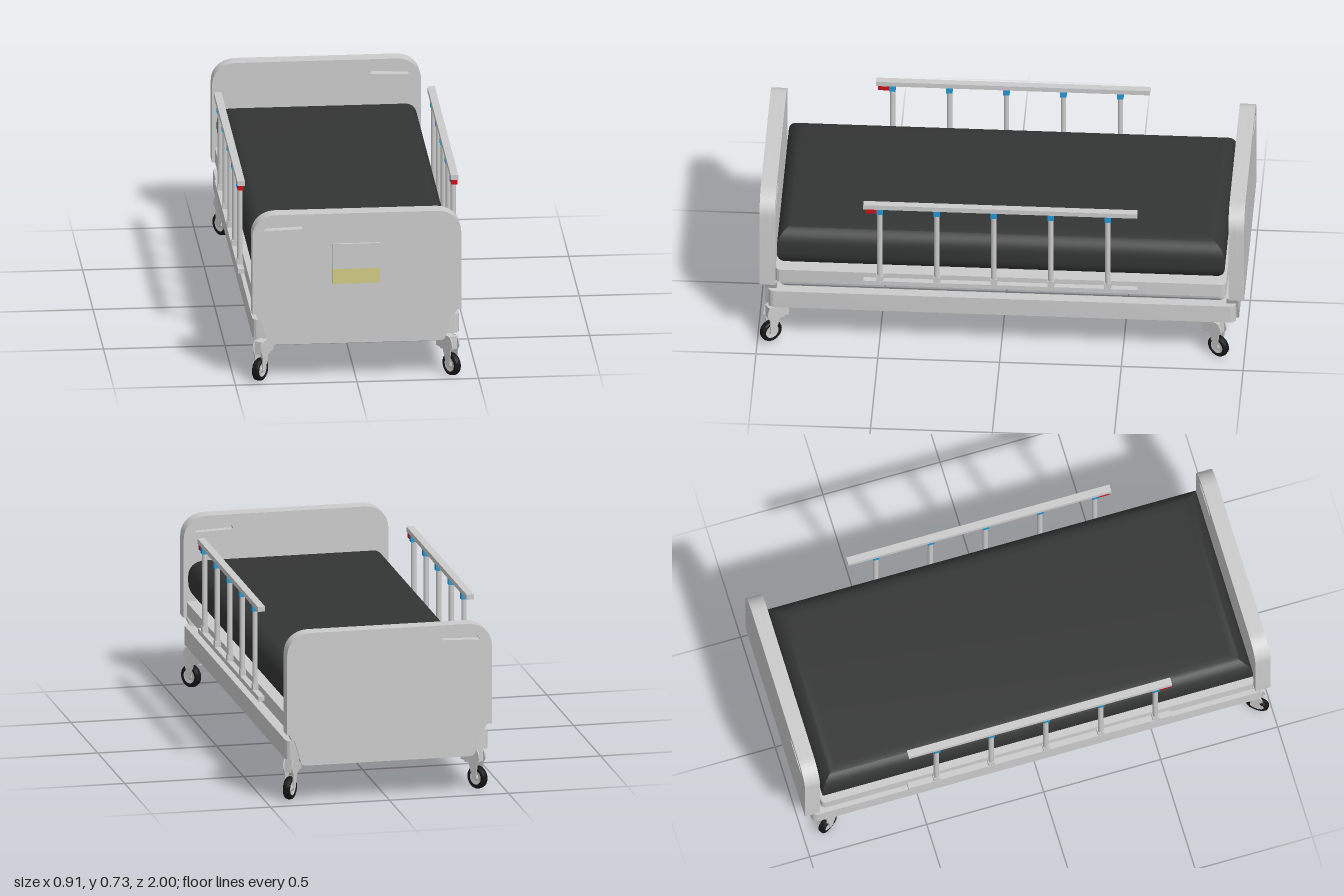
import * as THREE from 'three';
import { toCreasedNormals } from 'three/addons/utils/BufferGeometryUtils.js';

const paint = (color) => new THREE.MeshStandardMaterial({ color });
const grey = paint(0xcccccc);
const black = paint(0x161616);
const dark = paint(0x333534);
const blue = paint(0x2299d5);
const red = paint(0xcc1018);
const yellow = paint(0xd2cc85);

function add(parent, name, geometry, material = grey, x = 0, y = 0, z = 0) {
  const mesh = new THREE.Mesh(geometry, material);
  mesh.name = name;
  mesh.position.set(x, y, z);
  parent.add(mesh);
  return mesh;
}

const box = (w, h, d) => new THREE.BoxGeometry(w, h, d);

// Smooth-sided extrusion along z
function extrude(shape, depth) {
  const g = new THREE.ExtrudeGeometry(shape, { depth, bevelEnabled: false, curveSegments: 10 });
  return toCreasedNormals(g, 0.6);
}

// Rounded rectangle centred on the origin
function roundedRect(w, h, r, path = new THREE.Shape()) {
  const x = w / 2, y = h / 2;
  path.absarc(x - r, y - r, r, 0, Math.PI / 2);
  path.absarc(-x + r, y - r, r, Math.PI / 2, Math.PI);
  path.absarc(-x + r, -y + r, r, Math.PI, Math.PI * 1.5);
  path.absarc(x - r, -y + r, r, Math.PI * 1.5, Math.PI * 2);
  path.closePath();
  return path;
}

// End panel outline with a hand grip opening on one side
function boardShape(gripSide) {
  const s = new THREE.Shape();
  s.moveTo(-0.43, 0.3);
  s.lineTo(0.43, 0.3);
  s.lineTo(0.43, 0.635);
  s.bezierCurveTo(0.43, 0.69, 0.385, 0.728, 0.33, 0.728);
  s.lineTo(-0.33, 0.728);
  s.bezierCurveTo(-0.385, 0.728, -0.43, 0.69, -0.43, 0.635);
  s.closePath();
  const grip = new THREE.Path();
  const k = gripSide;
  grip.moveTo(k * 0.381, 0.66);
  grip.quadraticCurveTo(k * 0.36, 0.698, k * 0.33, 0.699);
  grip.lineTo(k * 0.255, 0.693);
  grip.quadraticCurveTo(k * 0.222, 0.685, k * 0.222, 0.665);
  grip.closePath();
  s.holes.push(grip);
  return s;
}

// Tapered skirt below each end panel
function skirtShape() {
  const s = new THREE.Shape();
  s.moveTo(-0.345, 0.16);
  s.lineTo(0.345, 0.16);
  s.quadraticCurveTo(0.361, 0.16, 0.367, 0.178);
  s.lineTo(0.402, 0.3);
  s.lineTo(-0.402, 0.3);
  s.lineTo(-0.367, 0.178);
  s.quadraticCurveTo(-0.361, 0.16, -0.345, 0.16);
  return s;
}

// Swivel caster, pointing along local +z
function makeCaster() {
  const g = new THREE.Group();
  g.name = 'caster';
  add(g, 'casterStem', new THREE.CylinderGeometry(0.016, 0.016, 0.09, 20), grey, 0, 0.15, -0.025);

  // Hood and fork arms
  const side = new THREE.Shape();
  side.moveTo(-0.05, 0.17);
  side.lineTo(-0.05, 0.115);
  side.lineTo(-0.008, 0.112);
  side.lineTo(0.014, 0.045);
  side.quadraticCurveTo(0.025, 0.034, 0.036, 0.045);
  side.lineTo(0.04, 0.11);
  side.lineTo(0.052, 0.13);
  side.quadraticCurveTo(0.05, 0.165, 0.03, 0.172);
  side.closePath();
  for (const k of [-1, 1]) {
    const arm = extrude(side, 0.005).rotateY(-Math.PI / 2);
    add(g, 'forkArm', arm, grey, k * 0.0185 + 0.0025, 0, 0);
  }
  add(g, 'casterHood', box(0.036, 0.055, 0.09), grey, 0, 0.1425, -0.005);

  // Tyre and hub
  const tyre = [[0.03, -0.013], [0.041, -0.015], [0.046, -0.011], [0.048, 0], [0.046, 0.011], [0.041, 0.015], [0.03, 0.013], [0.03, -0.013]]
    .map(([r, y]) => new THREE.Vector2(r, y));
  const tyreGeo = toCreasedNormals(new THREE.LatheGeometry(tyre, 36), 0.7).rotateZ(Math.PI / 2);
  add(g, 'tyre', tyreGeo, black, 0, 0.048, 0.025);
  const hub = [[0, -0.016], [0.01, -0.016], [0.014, -0.01], [0.031, -0.013], [0.031, 0.013], [0.014, 0.01], [0.01, 0.016], [0, 0.016]]
    .map(([r, y]) => new THREE.Vector2(r, y));
  const hubGeo = toCreasedNormals(new THREE.LatheGeometry(hub, 24), 0.5).rotateZ(Math.PI / 2);
  add(g, 'hub', hubGeo, grey, 0, 0.048, 0.025);
  return g;
}

// Side rail; k = 1 on the left, -1 on the right
function makeRail(k) {
  const g = new THREE.Group();
  g.name = k > 0 ? 'leftRail' : 'rightRail';
  const x = k * 0.439;
  add(g, 'topBar', box(0.031, 0.021, 1.125), grey, x, 0.722, 0);
  add(g, 'bottomBar', box(0.026, 0.02, 1.125), grey, x, 0.342, 0);
  for (let i = 0; i < 5; i++) {
    const z = 0.495 - i * 0.234;
    add(g, 'post', new THREE.CylinderGeometry(0.011, 0.011, 0.35, 16), grey, x, 0.535, z);
    add(g, 'postFoot', box(0.024, 0.025, 0.028), grey, x, 0.364, z);
    add(g, 'postClamp', box(0.028, 0.028, 0.026), blue, x, 0.699, z);
  }
  add(g, 'releaseHandle', box(0.025, 0.021, 0.05), red, x, 0.7, 0.53);
  return g;
}

export function createModel() {
  const model = new THREE.Group();
  model.name = 'hospitalBed';

  // Open base frame
  const frame = roundedRect(0.85, 1.92, 0.025);
  frame.holes.push(roundedRect(0.76, 1.83, 0.03, new THREE.Path()));
  add(model, 'baseFrame', extrude(frame, 0.08).rotateX(-Math.PI / 2), grey, 0, 0.185, -0.005);

  // Deck under the mattress
  add(model, 'deck', extrude(roundedRect(0.84, 1.85, 0.02), 0.06).rotateX(-Math.PI / 2), grey, 0, 0.31, 0);

  // Mattress with rolled edges
  const r = 0.08;
  const core = new THREE.Shape();
  const mx = 0.412 - r, mz = 0.92 - r;
  core.moveTo(-mx, -mz);
  core.lineTo(mx, -mz);
  core.lineTo(mx, mz);
  core.lineTo(-mx, mz);
  core.closePath();
  const mattress = new THREE.ExtrudeGeometry(core, {
    depth: 0.19 - 2 * r, bevelEnabled: true, bevelThickness: r, bevelSize: r, bevelSegments: 10,
  }).rotateX(-Math.PI / 2);
  add(model, 'mattress', toCreasedNormals(mattress, 0.6), dark, 0, 0.37 + r, 0);

  // End panels in two layers, each layer holding one recessed grip
  for (const [name, z] of [['footboard', 0.925], ['headboard', -1]]) {
    const end = new THREE.Group();
    end.name = name;
    const front = z > 0;
    add(end, 'panelFront', extrude(boardShape(front ? -1 : 1), 0.0325), grey, 0, 0, z + 0.0325);
    add(end, 'panelBack', extrude(boardShape(front ? 1 : -1), 0.0325), grey, 0, 0, z);
    add(end, 'skirt', extrude(skirtShape(), 0.05), grey, 0, 0, front ? 0.92 : -0.975);
    // Widening lip where the skirt meets the panel
    const lip = new THREE.Shape();
    lip.moveTo(-0.402, 0.265);
    lip.lineTo(0.402, 0.265);
    lip.lineTo(0.418, 0.3);
    lip.lineTo(-0.418, 0.3);
    lip.closePath();
    add(end, 'skirtLip', extrude(lip, 0.048), grey, 0, 0, front ? 0.921 : -0.974);
    model.add(end);
  }

  // Information plate on the footboard
  add(model, 'plateUpper', box(0.196, 0.108, 0.012), grey, -0.003, 0.545, 0.994);
  add(model, 'plateLower', box(0.196, 0.064, 0.012), yellow, -0.003, 0.459, 0.994);

  // Side rails
  for (const k of [1, -1]) model.add(makeRail(k));

  // Casters turned outward at each corner
  for (const sx of [1, -1]) {
    for (const sz of [1, -1]) {
      const caster = makeCaster();
      caster.position.set(sx * 0.38, 0, sz > 0 ? 0.925 : -0.872);
      caster.rotation.y = Math.atan2(sx * Math.sin(0.6), sz * Math.cos(0.6));
      model.add(caster);
    }
  }
  return model;
}
